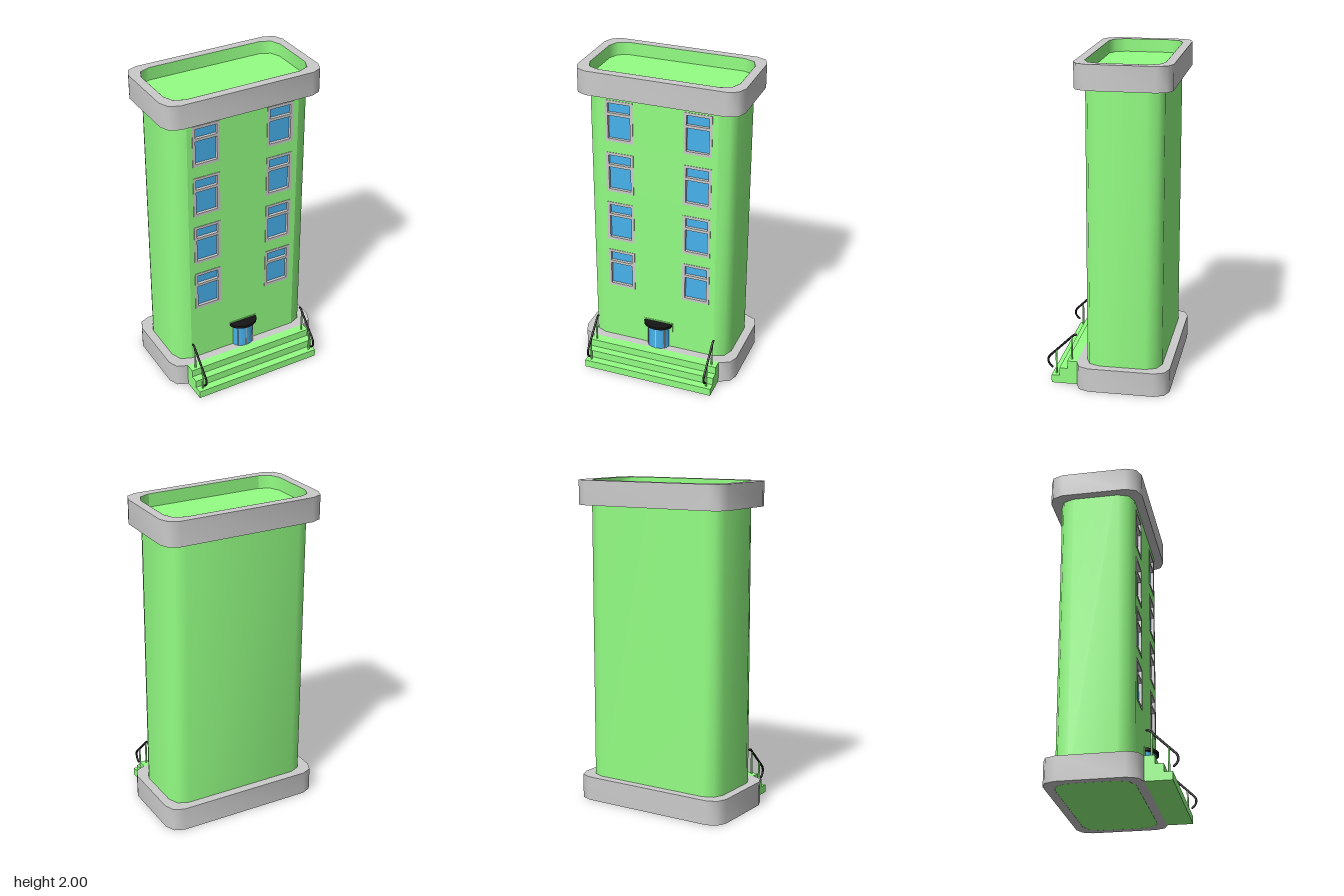
import * as THREE from 'three';
import { toCreasedNormals } from 'three/addons/utils/BufferGeometryUtils.js';

const mat = (color, side = THREE.FrontSide) => new THREE.MeshStandardMaterial({ color, side });
const GREEN = mat(0x94ff84), GREEN2 = mat(0x94ff84, THREE.DoubleSide);
const GREY = mat(0xcccccc), BLUE = mat(0x47b2ee), BLACK = mat(0x161616);

const FRONT = 0.135, BACK = -0.33, HALF = 0.465;

function add(parent, name, geometry, material, x = 0, y = 0, z = 0) {
  const mesh = new THREE.Mesh(geometry, material);
  mesh.name = name;
  mesh.position.set(x, y, z);
  parent.add(mesh);
  return mesh;
}

// Rounded footprint, two facets per corner, grown outwards; starts and ends on the front edge.
// Shape y is -z.
function footprint(grow, r) {
  const w = HALF + grow - r, f = -(FRONT + grow) + r, b = -(BACK - grow) - r;
  const pts = [];
  [[w, f], [w, b], [-w, b], [-w, f]].forEach(([cx, cy], i) => {
    for (let k = 0; k <= 2; k++) {
      const a = (i - 1) * Math.PI / 2 + k * Math.PI / 4;
      pts.push(new THREE.Vector2(cx + r * Math.cos(a), cy + r * Math.sin(a)));
    }
  });
  return pts;
}

const rect = (C, x0, y0, x1, y1) => new C([[x0, y0], [x1, y0], [x1, y1], [x0, y1]].map(p => new THREE.Vector2(...p)));

const extrude = (shape, depth) => new THREE.ExtrudeGeometry(shape, { depth, bevelEnabled: false });
const upright = (shape, height) => extrude(shape, height).rotateX(-Math.PI / 2);

// Vertical wall along an open line of footprint points
function wallStrip(pts, height) {
  const pos = [];
  for (let i = 0; i < pts.length - 1; i++) {
    const [a, b] = [pts[i], pts[i + 1]];
    pos.push(a.x, 0, -a.y, b.x, 0, -b.y, b.x, height, -b.y);
    pos.push(a.x, 0, -a.y, b.x, height, -b.y, a.x, height, -a.y);
  }
  const g = new THREE.BufferGeometry();
  g.setAttribute('position', new THREE.Float32BufferAttribute(pos, 3));
  return toCreasedNormals(g, 0.9);
}

// Half-plan of a shallow bow standing against the front wall
function bow(half, depth) {
  const pts = [];
  for (let i = 0; i <= 8; i++) {
    const a = Math.PI + i * Math.PI / 8;
    pts.push(new THREE.Vector2(half * Math.cos(a), depth * Math.sin(a)));
  }
  return new THREE.Shape(pts);
}

const WIN_W = 0.178, WIN_H = 0.265;

function makeWindow() {
  const g = new THREE.Group(), w = WIN_W / 2, h = WIN_H / 2, t = 0.018;
  g.name = 'window';
  const frame = rect(THREE.Shape, -w, -h, w, h);
  frame.holes.push(rect(THREE.Path, -w + t, -h + t, w - t, 0.035));
  frame.holes.push(rect(THREE.Path, -w + t, 0.053, w - t, h - t));
  add(g, 'windowFrame', extrude(frame, 0.026), GREY, 0, 0, -0.023);
  add(g, 'windowGlass', new THREE.PlaneGeometry(WIN_W - t, WIN_H - t), BLUE, 0, 0, -0.016);
  return g;
}

function makeHandrail() {
  const g = new THREE.Group();
  g.name = 'handrail';
  const path = new THREE.CurvePath();
  const v = (z, y) => new THREE.Vector3(0, y, z);
  path.add(new THREE.LineCurve3(v(0.2, 0.313), v(0.212, 0.313)));
  path.add(new THREE.LineCurve3(v(0.212, 0.313), v(0.362, 0.168)));
  path.add(new THREE.CubicBezierCurve3(v(0.362, 0.168), v(0.385, 0.145), v(0.383, 0.115), v(0.352, 0.091)));
  add(g, 'railTube', new THREE.TubeGeometry(path, 40, 0.007, 8), BLACK);
  // end caps
  for (const [z, y] of [[0.2, 0.313], [0.352, 0.091]]) add(g, 'railEnd', new THREE.SphereGeometry(0.007, 8, 6), BLACK, 0, y, z);
  for (const [z, y0, y1] of [[0.228, 0.15, 0.3], [0.325, 0.05, 0.204]])
    add(g, 'railPost', new THREE.CylinderGeometry(0.006, 0.006, y1 - y0, 8), GREEN, 0, (y0 + y1) / 2, z);
  return g;
}

export function createModel() {
  const model = new THREE.Group();
  model.name = 'apartmentBlock';

  // Body: rounded shell, front panel pierced for windows, sunken roof and floor
  const plan = footprint(0, 0.093);
  add(model, 'outerWall', wallStrip(plan, 2), GREEN2);
  const panel = rect(THREE.Shape, plan[11].x, 0, plan[0].x, 2);
  const spots = [];
  for (let i = 0; i < 4; i++) for (const s of [-1, 1]) spots.push([s * 0.248, 0.663 + i * 0.34]);
  for (const [x, y] of spots)
    panel.holes.push(rect(THREE.Path, x - WIN_W / 2, y - WIN_H / 2, x + WIN_W / 2, y + WIN_H / 2));
  add(model, 'frontWall', new THREE.ShapeGeometry(panel), GREEN2, 0, 0, FRONT);
  const slab = new THREE.ShapeGeometry(new THREE.Shape(plan)).rotateX(-Math.PI / 2);
  add(model, 'roof', slab, GREEN2, 0, 1.92);
  add(model, 'floor', slab, GREEN2);

  // Plinth and parapet bands
  const ring = new THREE.Shape(footprint(0.055, 0.088));
  ring.holes.push(new THREE.Path(footprint(0.001, 0.093)));
  const band = toCreasedNormals(upright(ring, 0.15), 0.9);
  add(model, 'plinth', band, GREY);
  add(model, 'parapet', band, GREY, 0, 1.85);

  // Windows
  for (const [x, y] of spots) {
    const w = makeWindow();
    w.position.set(x, y, FRONT);
    model.add(w);
  }

  // Entrance: surround, bowed glass bay, mullions and canopy
  const entrance = new THREE.Group();
  entrance.name = 'entrance';
  entrance.position.set(0, 0.15, FRONT);
  model.add(entrance);
  add(entrance, 'doorSurround', new THREE.BoxGeometry(0.194, 0.18, 0.004), GREEN, 0, 0.09, 0.001);
  add(entrance, 'glassBay', toCreasedNormals(upright(bow(0.072, 0.055), 0.156), 0.6), BLUE);
  for (const a of [-0.85, 0, 0.85])
    add(entrance, 'mullion', new THREE.BoxGeometry(0.005, 0.156, 0.005), GREY, 0.072 * Math.sin(a), 0.078, 0.055 * Math.cos(a));
  add(entrance, 'canopy', toCreasedNormals(upright(bow(0.095, 0.075), 0.017), 0.6), BLACK, 0, 0.155);

  // Stairs: stepped side profile extruded across the front
  const steps = new THREE.Shape([[0.189, 0], [0.35, 0], [0.35, 0.05], [0.3, 0.05], [0.3, 0.1],
    [0.25, 0.1], [0.25, 0.15], [0.189, 0.15]].map(p => new THREE.Vector2(...p)));
  add(model, 'stairs', extrude(steps, 0.86).translate(0, 0, -0.43).rotateY(-Math.PI / 2), GREEN);

  // Handrails
  for (const s of [-1, 1]) {
    const rail = makeHandrail();
    rail.position.x = s * 0.395;
    model.add(rail);
  }
  return model;
}
